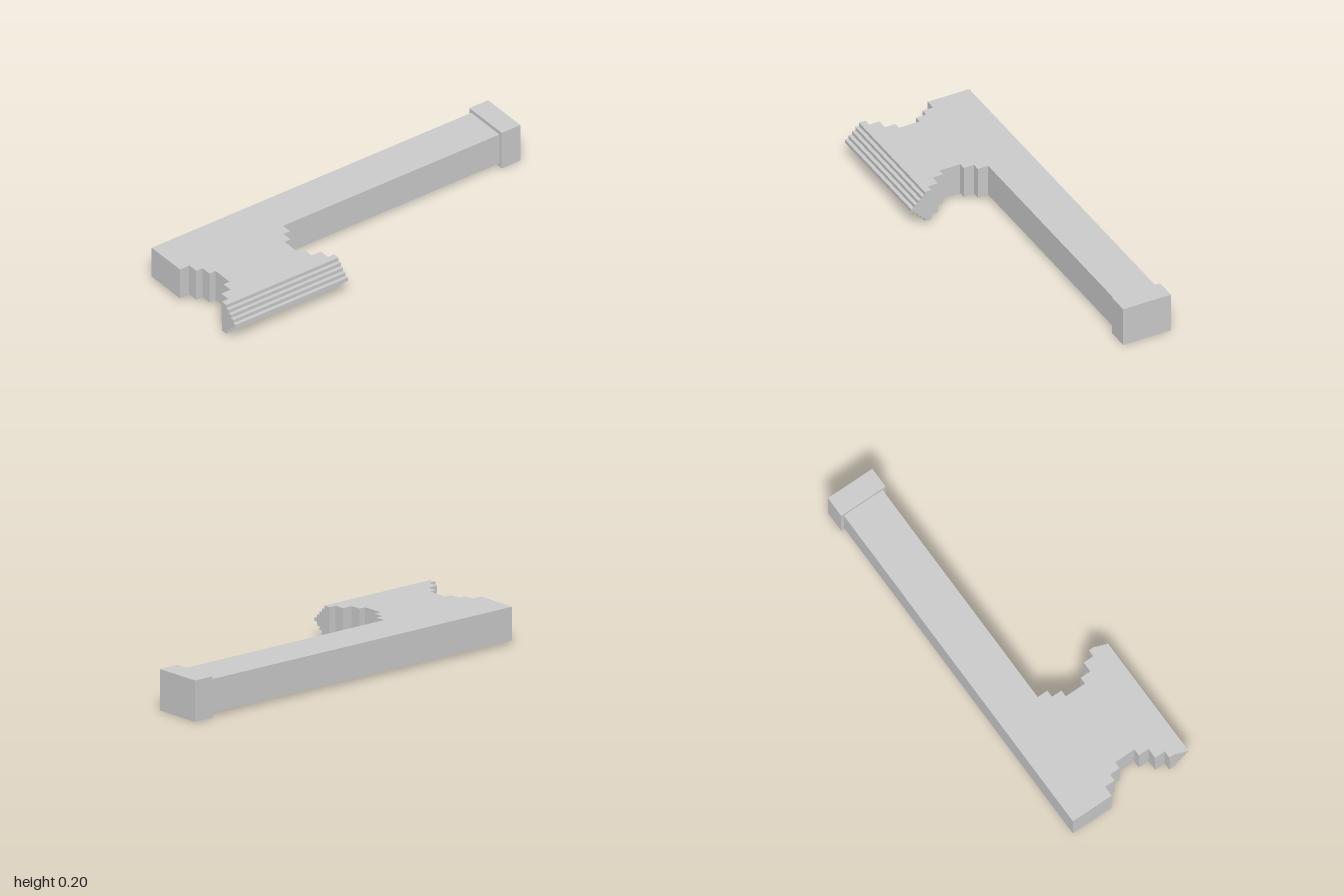
import * as THREE from 'three';

const material = new THREE.MeshStandardMaterial({ color: 0xcccccc, flatShading: true });

function addMesh(group, name, geometry) {
  const mesh = new THREE.Mesh(geometry, material);
  mesh.name = name;
  group.add(mesh);
  return mesh;
}

function extrude(points, depth) {
  const shape = new THREE.Shape(points.map(([x, y]) => new THREE.Vector2(x, y)));
  return new THREE.ExtrudeGeometry(shape, { depth, bevelEnabled: false });
}

export function createModel() {
  const axe = new THREE.Group();
  axe.name = 'axe';
  const bottom = 0.02, top = 0.186, handleBack = -0.327, handleFront = -0.102;

  // Stepped neck of the head: [z start, z end, x min, x max]
  const steps = [
    [handleFront, -0.046, -0.945, -0.39],
    [-0.046, 0.009, -0.908, -0.428],
    [0.009, 0.121, -0.872, -0.464],
    [0.121, 0.177, -0.908, -0.428],
    [0.177, 0.233, -0.962, -0.373],
    [0.233, 0.268, -1, -0.337],
  ];

  // Handle and head share one flat plan outline, drawn as (x, -z)
  const outline = [[-1, -handleBack], [-1, -handleFront]];
  for (const [z0, z1, xMin] of steps) outline.push([xMin, -z0], [xMin, -z1]);
  for (const [z0, z1, , xMax] of [...steps].reverse()) outline.push([xMax, -z1], [xMax, -z0]);
  outline.push([0.89, -handleFront], [0.89, -handleBack]);
  const body = extrude(outline, top - bottom);
  body.rotateX(-Math.PI / 2);
  addMesh(axe, 'handleAndHead', body).position.y = bottom;

  // Cutting edge: staircase profile (-z, y), narrowing to the tip
  const upper = [], lower = [];
  const rise = 0.0184, middle = (top + bottom) / 2;
  for (let i = 0; i < 4; i++) {
    const half = 0.0645 - i * rise;
    const z0 = 0.268 + i * 0.0186, z1 = z0 + 0.0186;
    upper.push([-z0, middle + half], [-z1, middle + half]);
    lower.push([-z0, middle - half], [-z1, middle - half]);
  }
  const edge = extrude([...upper, ...lower.reverse()], 0.663);
  edge.rotateY(Math.PI / 2);
  addMesh(axe, 'cuttingEdge', edge).position.x = -1;

  // Square pommel at the end of the handle
  const pommel = addMesh(axe, 'pommel', new THREE.BoxGeometry(0.11, 0.205, 0.258));
  pommel.position.set(0.945, 0.1025, -0.213);

  return axe;
}
